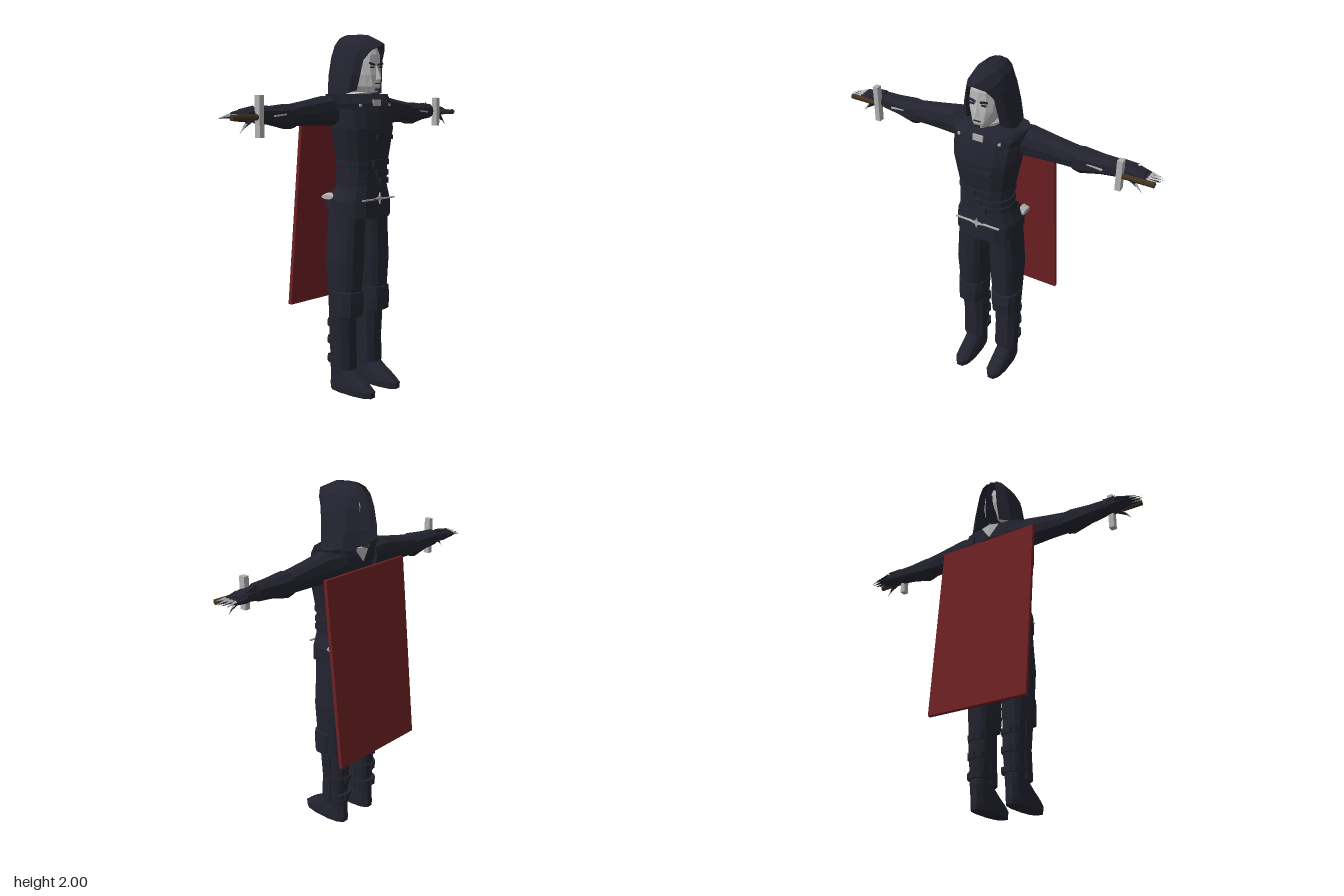
import * as THREE from 'three';

const paint = (name, color, side = THREE.FrontSide) => {
  const m = new THREE.MeshStandardMaterial({ color, side });
  m.name = name;
  return m;
};

// Faceted skin over a list of rings; each ring runs anticlockwise seen against its axis
function loft(rings, { closed = true, caps = true } = {}) {
  const pos = [];
  const tri = (a, b, c) => [a, b, c].forEach(p => pos.push(p.x, p.y, p.z));
  const n = rings[0].length, last = rings.length - 1;
  for (let i = 0; i < last; i++) {
    for (let j = 0; j < (closed ? n : n - 1); j++) {
      const k = (j + 1) % n;
      tri(rings[i][j], rings[i + 1][j], rings[i][k]);
      tri(rings[i][k], rings[i + 1][j], rings[i + 1][k]);
    }
  }
  if (caps) {
    const mid = r => r.reduce((s, p) => s.add(p), new THREE.Vector3()).divideScalar(n);
    const lo = mid(rings[0]), hi = mid(rings[last]);
    for (let j = 0; j < n; j++) {
      const k = (j + 1) % n;
      tri(lo, rings[0][j], rings[0][k]);
      tri(hi, rings[last][k], rings[last][j]);
    }
  }
  const g = new THREE.BufferGeometry();
  g.setAttribute('position', new THREE.Float32BufferAttribute(pos, 3));
  g.computeVertexNormals();
  return g;
}

const soft = v => Math.sign(v) * Math.abs(v) ** 0.8;
const around = (n, f) => Array.from({ length: n }, (_, i) => {
  const a = (i + 0.5) / n * Math.PI * 2;
  return f(soft(Math.cos(a)), soft(Math.sin(a)));
});
// Upright sections: [y, centre x, centre z, radius x, radius z, forward tilt]
const upright = (rows, n = 14) => loft(rows.map(([y, cx, cz, rx, rz, tilt = 0]) =>
  around(n, (c, s) => new THREE.Vector3(cx + rx * c, y - tilt * s * rz, cz + rz * s))));
// Sideways sections: [x, centre y, centre z, radius y, radius z]
const sideways = (rows, n = 10) => loft(rows.map(([x, cy, cz, ry, rz]) =>
  around(n, (c, s) => new THREE.Vector3(x, cy + ry * c, cz - rz * s))));

// Mirror a geometry across x = 0, keeping its faces outward
function mirrored(geo) {
  const g = geo.index ? geo.toNonIndexed() : geo.clone();
  g.scale(-1, 1, 1);
  const p = g.attributes.position, a = new THREE.Vector3(), b = new THREE.Vector3();
  for (let i = 0; i < p.count; i += 3) {
    a.fromBufferAttribute(p, i + 1);
    b.fromBufferAttribute(p, i + 2);
    p.setXYZ(i + 1, b.x, b.y, b.z);
    p.setXYZ(i + 2, a.x, a.y, a.z);
  }
  g.computeVertexNormals();
  return g;
}

// Pointed four-sided spike between two points
function spike(from, to, radius, flat = 1) {
  const a = new THREE.Vector3(...from), d = new THREE.Vector3(...to).sub(a);
  const g = new THREE.ConeGeometry(radius, d.length(), 4).toNonIndexed();
  g.scale(1, 1, flat);
  g.translate(0, d.length() / 2, 0);
  g.applyQuaternion(new THREE.Quaternion().setFromUnitVectors(new THREE.Vector3(0, 1, 0), d.normalize()));
  g.translate(a.x, a.y, a.z);
  g.computeVertexNormals();
  return g;
}

const box = (w, h, d, x, y, z, rz = 0) =>
  new THREE.BoxGeometry(w, h, d).rotateZ(rz).translate(x, y, z);

export function createModel() {
  const model = new THREE.Group();
  const cloth = paint('dark cloth', 0x232330);
  const lining = paint('hood cloth', 0x232330, THREE.DoubleSide);
  const skin = paint('pale skin', 0xbababa);
  const steel = paint('steel', 0xb0b0b0);
  const wood = paint('brown grip', 0x43321f);
  const red = paint('red cape', 0x6e2023);

  const add = (name, geo, mat) => {
    const m = new THREE.Mesh(geo, mat);
    m.name = name;
    model.add(m);
  };
  const pair = (name, geo, mat) => {
    add(name + 'Left', geo, mat);
    add(name + 'Right', mirrored(geo), mat);
  };

  // Cape
  add('cape', new THREE.BoxGeometry(0.62, 1.062, 0.022).rotateX(0.097).translate(0, 1.03, -0.167), red);

  // Head and face
  add('head', upright([
    [1.58, 0, 0.01, 0.06, 0.06], [1.68, 0, 0.02, 0.055, 0.07], [1.69, 0, 0.07, 0.04, 0.085],
    [1.72, 0, 0.05, 0.062, 0.115], [1.78, 0, 0.04, 0.082, 0.122], [1.83, 0, 0.03, 0.087, 0.125],
    [1.89, 0, 0.03, 0.078, 0.125], [1.93, 0, 0.03, 0.06, 0.11], [1.95, 0, 0.03, 0.04, 0.08]]), skin);
  add('nose', spike([0, 1.755, 0.168], [0, 1.84, 0.152], 0.02), skin);
  add('beard', box(0.03, 0.012, 0.006, 0, 1.703, 0.162), cloth);
  add('mouth', box(0.042, 0.005, 0.006, 0, 1.735, 0.166), cloth);
  pair('brow', box(0.042, 0.01, 0.008, 0.034, 1.84, 0.153, 0.2), cloth);
  pair('eye', box(0.026, 0.008, 0.008, 0.034, 1.823, 0.154), cloth);

  // Hood: [y, half width, back z, edge x, edge y, edge z], open at the front
  const hoodRows = [
    [1.67, 0.152, -0.14, 0.10, 1.70, 0.10], [1.78, 0.13, -0.147, 0.092, 1.78, 0.118],
    [1.88, 0.106, -0.137, 0.08, 1.86, 0.13], [1.945, 0.085, -0.12, 0.055, 1.91, 0.165],
    [1.983, 0.058, -0.095, 0, 1.945, 0.21], [2.0, 0.028, -0.065, 0, 1.998, 0.09]];
  add('hood', loft(hoodRows.map(([y, w, zb, ex, ey, ez]) => {
    const half = [[ex, ey, ez], [(ex + w) * 0.56, (y + ey) / 2, ez * 0.72], [w, y, ez * 0.25],
      [w * 0.92, y, zb * 0.55], [w * 0.55, y, zb * 0.92]];
    const left = half.map(p => new THREE.Vector3(...p));
    const right = half.map(([x, yy, z]) => new THREE.Vector3(-x, yy, z)).reverse();
    return [...right, new THREE.Vector3(0, y, zb), ...left];
  }), { closed: false, caps: false }), lining);
  add('hoodCrown', new THREE.CircleGeometry(1, 10).rotateX(-Math.PI / 2).scale(0.027, 1, 0.08)
    .translate(0, 1.998, 0.012), lining);

  // Torso, mantle and skirt
  add('torso', upright([
    [1.04, 0, 0.03, 0.16, 0.11], [1.2, 0, 0.052, 0.152, 0.11], [1.28, 0, 0.055, 0.148, 0.112],
    [1.4, 0, 0.055, 0.17, 0.127], [1.49, 0, 0.055, 0.188, 0.135], [1.58, 0, 0.04, 0.197, 0.13],
    [1.65, 0, 0.025, 0.2, 0.115], [1.67, 0, 0.02, 0.14, 0.1]]), cloth);
  add('mantle', upright([
    [1.585, 0, 0.035, 0.19, 0.137], [1.63, 0, 0.03, 0.21, 0.127],
    [1.68, 0, 0.015, 0.222, 0.1], [1.655, 0, 0.015, 0.12, 0.08]]), cloth);
  add('skirt', upright([
    [1.035, 0, 0.02, 0.187, 0.162, 0.22], [1.1, 0, 0.03, 0.187, 0.145, 0.12],
    [1.16, 0, 0.045, 0.16, 0.12], [1.19, 0, 0.05, 0.15, 0.11]]), cloth);
  [[1.2, 0.158, 0.118], [1.245, 0.156, 0.12], [1.305, 0.157, 0.124]].forEach(([y, rx, rz], i) => {
    add('belt' + i, upright([[y - 0.015, 0, 0.055, rx, rz], [y + 0.015, 0, 0.055, rx, rz]]), cloth);
    add('beltBuckle' + i, box(0.05, 0.036, 0.02, 0.03 - i * 0.03, y, 0.055 + rz), cloth);
  });
  add('chestStrap', box(0.13, 0.025, 0.02, 0.03, 1.445, 0.186), cloth);

  // Steel clasp, belt star and skirt chain
  add('throatClasp', box(0.06, 0.035, 0.009, 0, 1.632, 0.157), steel);
  const star = new THREE.Shape();
  for (let i = 0; i < 8; i++) {
    const r = i % 2 ? 0.011 : (i % 4 ? 0.032 : 0.045), a = i * Math.PI / 4;
    star[i ? 'lineTo' : 'moveTo'](r * Math.cos(a), r * Math.sin(a));
  }
  add('beltStar', new THREE.ExtrudeGeometry(star, { depth: 0.009, bevelEnabled: false })
    .translate(0, 1.11, 0.178), steel);
  pair('skirtChain', box(0.1, 0.008, 0.009, 0.085, 1.105, 0.172), steel);
  pair('mantleStud', box(0.014, 0.014, 0.009, 0.12, 1.62, 0.145), steel);
  pair('hipPouch', sideways([[0.15, 1.115, -0.045, 0.022, 0.05], [0.187, 1.115, -0.045, 0.012, 0.04]]), steel);
  add('napePatch', spike([0, 1.67, -0.095], [0, 1.59, -0.105], 0.06, 0.25), skin);

  // Legs
  pair('leg', upright([
    [0.1, 0.11, 0, 0.052, 0.06], [0.3, 0.108, -0.005, 0.062, 0.072], [0.45, 0.11, 0.005, 0.068, 0.08],
    [0.6, 0.11, 0.02, 0.08, 0.1], [0.76, 0.108, 0.02, 0.09, 0.11], [0.92, 0.1, 0.02, 0.086, 0.11],
    [1.08, 0.09, 0.025, 0.085, 0.11]]), cloth);
  pair('kneeGuard', upright([
    [0.45, 0.115, 0.05, 0.078, 0.075], [0.52, 0.112, 0.045, 0.083, 0.085],
    [0.585, 0.112, 0.035, 0.085, 0.09], [0.6, 0.112, 0.03, 0.07, 0.075]], 10), cloth);
  pair('greave', upright([
    [0.135, 0.11, 0.03, 0.07, 0.055], [0.3, 0.11, 0.02, 0.068, 0.062],
    [0.46, 0.115, 0.02, 0.076, 0.065]], 8), cloth);
  [0.18, 0.29, 0.39].forEach((y, i) => {
    pair('calfStrap' + i, upright([[y - 0.015, 0.108, -0.02, 0.066, 0.066],
      [y + 0.015, 0.108, -0.02, 0.068, 0.068]], 10), cloth);
    pair('calfBuckle' + i, box(0.03, 0.04, 0.012, 0.115, y, -0.087), cloth);
  });
  pair('boot', upright([
    [0, 0.11, 0.078, 0.053, 0.155], [0.035, 0.11, 0.078, 0.057, 0.157], [0.065, 0.11, 0.06, 0.055, 0.135],
    [0.1, 0.11, 0.03, 0.052, 0.105], [0.14, 0.11, 0, 0.05, 0.075], [0.2, 0.11, 0, 0.054, 0.066]], 12), cloth);

  // Arms, bracers and gloves
  pair('arm', sideways([
    [0.12, 1.59, -0.01, 0.075, 0.09], [0.22, 1.59, -0.02, 0.083, 0.072], [0.36, 1.58, -0.022, 0.068, 0.064],
    [0.5, 1.57, -0.022, 0.056, 0.058], [0.64, 1.57, -0.025, 0.045, 0.048],
    [0.76, 1.575, -0.03, 0.032, 0.04]]), cloth);
  pair('bracer', sideways([
    [0.47, 1.567, -0.022, 0.06, 0.058], [0.51, 1.565, -0.022, 0.068, 0.062],
    [0.62, 1.572, -0.025, 0.05, 0.052], [0.71, 1.575, -0.028, 0.044, 0.046]], 8), cloth);
  pair('bracerBlade', box(0.1, 0.008, 0.008, 0.59, 1.575, 0.027, -0.1), steel);
  pair('bracerUpperSpike', spike([0.6, 1.6, -0.03], [0.7, 1.625, -0.03], 0.02), cloth);
  pair('gloveCuffSpike', spike([0.72, 1.6, -0.04], [0.8, 1.605, -0.07], 0.025), cloth);
  pair('palm', sideways([[0.72, 1.575, -0.03, 0.03, 0.038], [0.79, 1.575, -0.032, 0.034, 0.045],
    [0.85, 1.572, -0.032, 0.024, 0.043]], 8), cloth);
  for (let i = 0; i < 4; i++) {
    const z = -0.068 + i * 0.024, tip = 0.95 - Math.abs(i - 1.6) * 0.014;
    pair('finger' + i, spike([0.8, 1.58, z], [tip - 0.01, 1.565, z], 0.02), cloth);
    pair('claw' + i, spike([0.865, 1.575, z], [tip, 1.56 + i * 0.006, z], 0.01), steel);
  }
  pair('thumb', spike([0.77, 1.565, 0], [0.845, 1.5, 0.005], 0.024), cloth);
  pair('thumbClaw', spike([0.81, 1.535, 0.004], [0.855, 1.485, 0.006], 0.01), steel);

  // Sword grips and crossguards
  pair('grip', new THREE.CylinderGeometry(0.015, 0.015, 0.19, 8).rotateZ(Math.PI / 2)
    .translate(0.82, 1.567, 0.02), wood);
  add('guardLeft', box(0.03, 0.17, 0.036, 0.732, 1.57, 0.02), steel);
  add('guardRight', box(0.03, 0.21, 0.036, -0.735, 1.57, 0.02), steel);

  return model;
}
